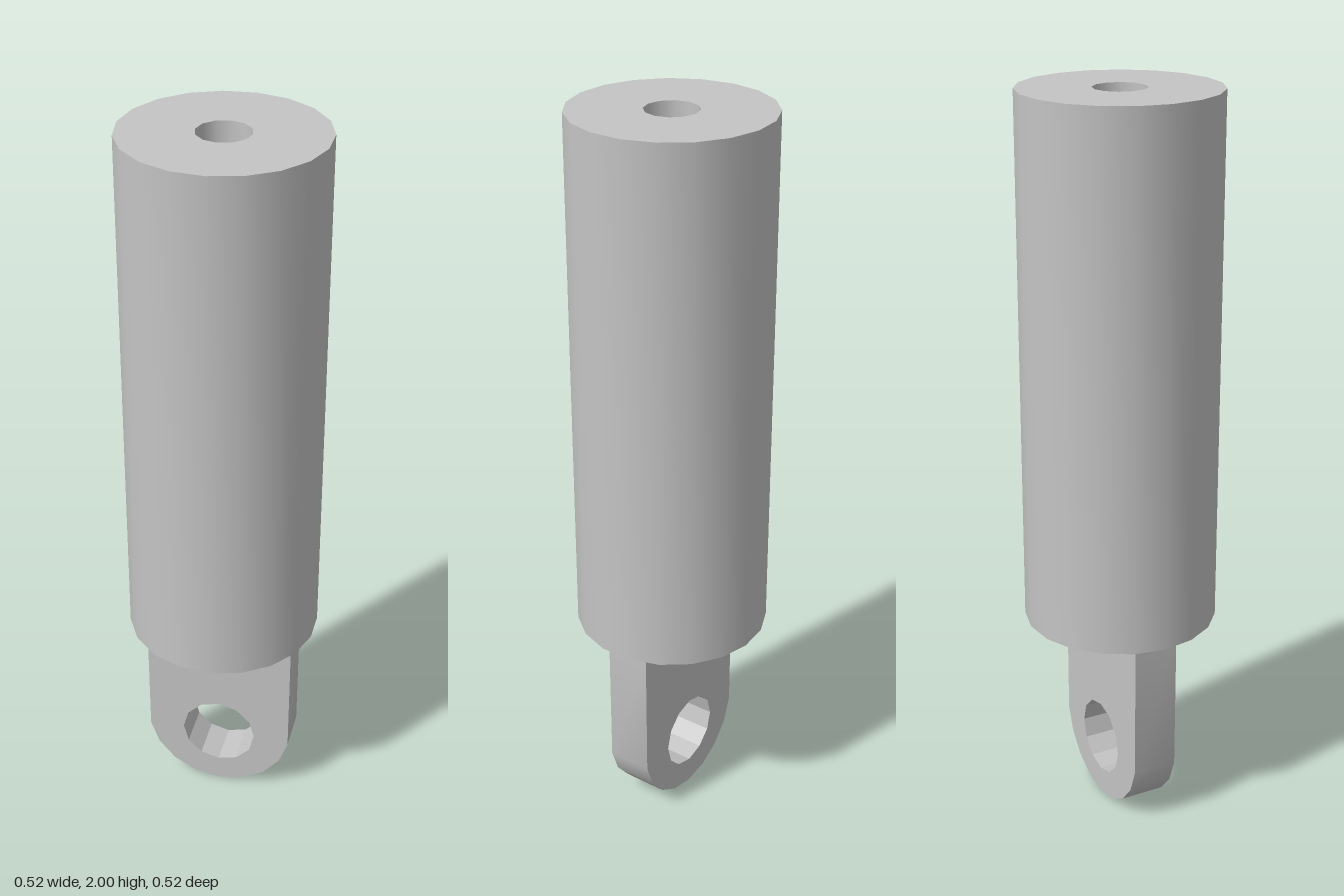
import * as THREE from 'three';
import { toCreasedNormals } from 'three/addons/utils/BufferGeometryUtils.js';

// Points along an arc, in degrees
function arc(cx, cy, r, from, to, steps) {
  return Array.from({ length: steps + 1 }, (_, i) => {
    const a = THREE.MathUtils.degToRad(from + ((to - from) * i) / steps);
    return new THREE.Vector2(cx + r * Math.cos(a), cy + r * Math.sin(a));
  });
}

// Closed ring of points
const ring = (cx, cy, r, sides, from = 0) => arc(cx, cy, r, from, from + 360, sides).slice(0, -1);

// Straight extrusion of an outline with one hole
function plate(outline, hole, depth, crease) {
  const shape = new THREE.Shape(outline);
  shape.holes.push(new THREE.Path(hole));
  const geometry = new THREE.ExtrudeGeometry(shape, { depth, bevelEnabled: false });
  return toCreasedNormals(geometry, crease);
}

export function createModel() {
  const group = new THREE.Group();
  const metal = new THREE.MeshStandardMaterial({ color: 0xc4c4c4 });
  metal.name = 'grey metal';

  const add = (name, geometry, y = 0) => {
    const mesh = new THREE.Mesh(geometry, metal);
    mesh.name = name;
    mesh.position.y = y;
    group.add(mesh);
  };

  const bottom = 0.57, height = 1.43, boreRadius = 0.07, plugHeight = 0.6;

  // Cylindrical body with a bore down its axis
  const body = plate(ring(0, 0, 0.262, 19, 180), ring(0, 0, boreRadius, 12), height, 0.6);
  body.rotateX(-Math.PI / 2);
  add('body', body, bottom);

  // Plug that closes the lower end of the bore
  const plug = new THREE.CylinderGeometry(boreRadius, boreRadius, plugHeight, 12);
  add('boreFloor', plug, bottom + plugHeight / 2);

  // Flat mounting tab with a rounded end and an eye hole
  const r = 0.208, thickness = 0.124;
  const outline = [
    new THREE.Vector2(-0.207, bottom),
    ...arc(0, r, r, 190, 350, 8),
    new THREE.Vector2(0.207, bottom),
  ];
  const tab = plate(outline, ring(0, 0.18, 0.105, 12), thickness, 0.5);
  tab.translate(0, 0, -thickness / 2);
  add('mountingTab', tab);

  return group;
}
